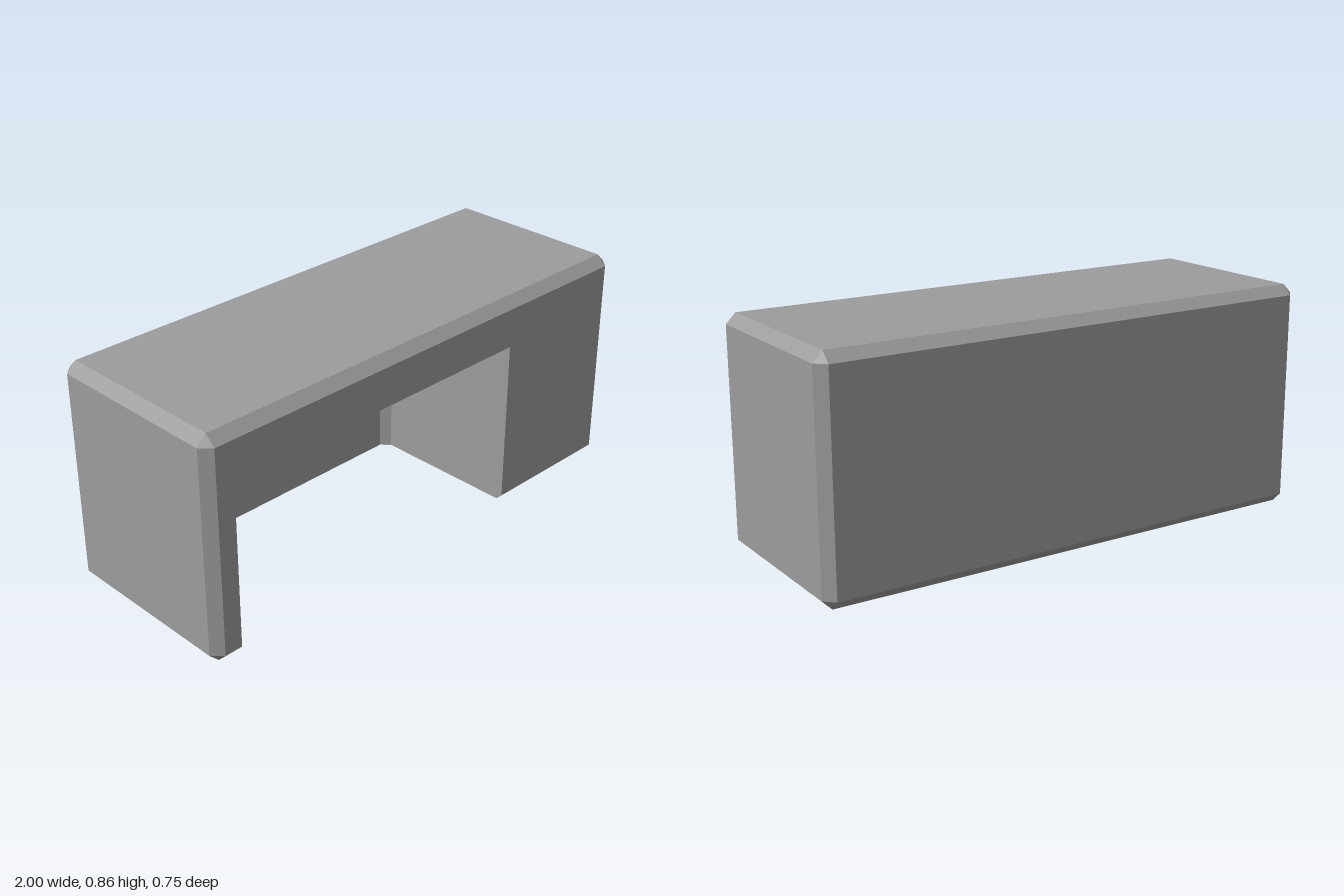
import * as THREE from 'three';

const W = 1, H = 0.8625, D = 0.3725, B = 0.0375; // half width, height, half depth, bevel

// Builds flat polygons (fans), each wound to face away from, or towards, a reference point
function facetedMesh(name, faces, ref, outward, material) {
  const pos = [];
  for (const pts of faces) {
    const v = pts.map(p => new THREE.Vector3(...p));
    const n = v[1].clone().sub(v[0]).cross(v[2].clone().sub(v[0]));
    if ((n.dot(v[0].clone().sub(ref)) > 0) !== outward) v.reverse();
    for (let i = 1; i < v.length - 1; i++) {
      for (const q of [v[0], v[i], v[i + 1]]) pos.push(q.x, q.y, q.z);
    }
  }
  const geo = new THREE.BufferGeometry();
  geo.setAttribute('position', new THREE.Float32BufferAttribute(pos, 3));
  geo.computeVertexNormals();
  const mesh = new THREE.Mesh(geo, material);
  mesh.name = name;
  return mesh;
}

export function createModel() {
  const group = new THREE.Group();
  group.name = 'hollowBlock';
  const grey = new THREE.MeshStandardMaterial({ color: 0x9c9c9c, flatShading: true });
  grey.name = 'grey';

  // Cavity outline at each depth: the mouth is slightly narrower than the inside
  const mouth = { l: -0.892, r: 0.417, b: B, t: 0.675, z: D };
  const lip = { l: -0.907, r: 0.434, b: 0, t: 0.69, z: D - B };
  const deep = { ...lip, z: -0.235 };
  const end = { l: -0.875, r: 0.402, b: 0, t: 0.658, z: -0.267 };
  const arch = c => [[c.l, c.b, c.z], [c.l, c.t, c.z], [c.r, c.t, c.z], [c.r, c.b, c.z]];

  // Outer shell: x, z at the bevelled size, y at the bevelled and full heights
  const x = W - B, z = D - B, y0 = B, y1 = H - B;
  const shell = [
    [[-x, H, -z], [x, H, -z], [x, H, z], [-x, H, z]],          // top
    [[-x, y0, -D], [x, y0, -D], [x, y1, -D], [-x, y1, -D]],    // back
    [[-x, H, -z], [x, H, -z], [x, y1, -D], [-x, y1, -D]],      // upper bevels
    [[-x, H, z], [x, H, z], [x, y1, D], [-x, y1, D]],
    [[-x, 0, -z], [x, 0, -z], [x, y0, -D], [-x, y0, -D]],      // lower back bevel
    [[mouth.l, mouth.t, D], [mouth.r, mouth.t, D], [mouth.r, y1, D], [mouth.l, y1, D]], // lintel
    [[-x, 0, -z], [x, 0, -z], [x, 0, end.z], [-x, 0, end.z]],  // underside of the back wall
  ];
  for (const s of [-1, 1]) {
    const m = s < 0 ? mouth.l : mouth.r, p = s < 0 ? lip.l : lip.r, e = s < 0 ? end.l : end.r;
    shell.push(
      [[s * W, y0, -z], [s * W, y0, z], [s * W, y1, z], [s * W, y1, -z]],     // side
      [[s * x, H, -z], [s * x, H, z], [s * W, y1, z], [s * W, y1, -z]],       // side bevels
      [[s * x, 0, -z], [s * x, 0, z], [s * W, y0, z], [s * W, y0, -z]],
      [[s * x, y0, D], [m, y0, D], [m, y1, D], [s * x, y1, D]],               // front leg
      [[s * x, y0, D], [m, y0, D], [p, 0, z], [s * x, 0, z]],                 // lower front bevel
      [[s * x, 0, z], [p, 0, z], [p, 0, deep.z], [e, 0, end.z], [s * x, 0, end.z]], // foot underside
    );
    // Upright bevels and corner facets
    for (const f of [-1, 1]) {
      shell.push(
        [[s * x, y0, f * D], [s * W, y0, f * z], [s * W, y1, f * z], [s * x, y1, f * D]],
        [[s * x, y1, f * D], [s * W, y1, f * z], [s * x, H, f * z]],
        [[s * x, y0, f * D], [s * W, y0, f * z], [s * x, 0, f * z]],
      );
    }
  }
  group.add(facetedMesh('outerShell', shell, new THREE.Vector3(0, H / 2, 0), true, grey));

  // Cavity: walls and ceiling lofted between the outlines, closed at the back
  const cavity = [arch(end)];
  const rings = [mouth, lip, deep, end].map(arch);
  for (let i = 0; i < 3; i++) {
    for (let k = 0; k < 3; k++) {
      cavity.push([rings[i][k], rings[i][k + 1], rings[i + 1][k + 1], rings[i + 1][k]]);
    }
  }
  group.add(facetedMesh('cavity', cavity, new THREE.Vector3(-0.24, 0.3, 0), false, grey));
  return group;
}
